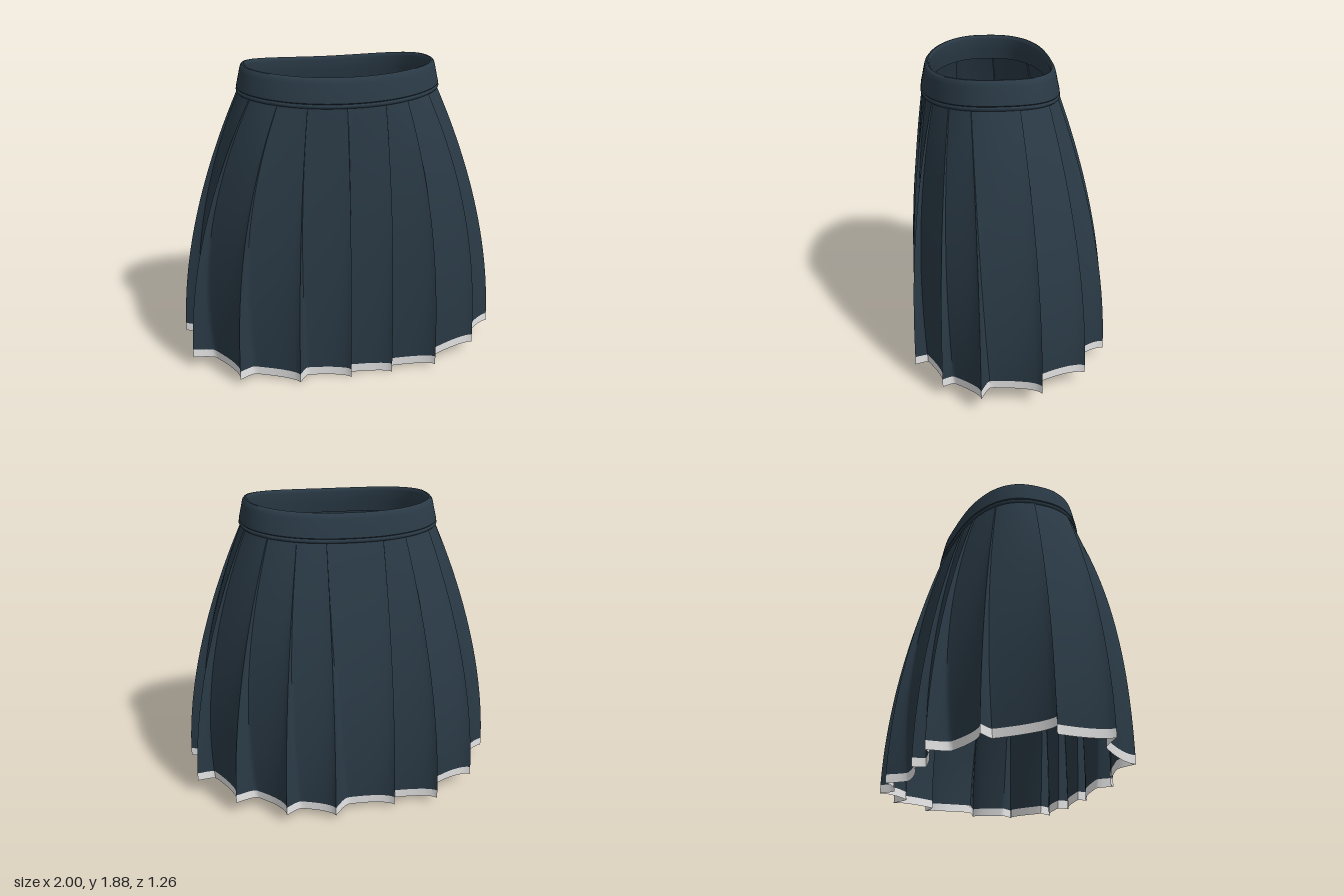
import * as THREE from 'three';
import { toCreasedNormals } from 'three/addons/utils/BufferGeometryUtils.js';

const fabric = new THREE.MeshStandardMaterial({ color: 0x2a3a46, side: THREE.DoubleSide });
fabric.name = 'dark slate fabric';
const white = new THREE.MeshStandardMaterial({ color: 0xe6e6e6, side: THREE.DoubleSide });
white.name = 'white trim';

// Outer fold of each pleat at the hem, clockwise from above:
// [x, z, where the valley lies on the way to the next fold, valley depth]
const pleats = [
  [-0.49, -0.60, 0.92, 0.08], [-0.21, -0.59, 0.70, 0.10], [0.18, -0.635, 0.70, 0.08],
  [0.48, -0.59, 0.72, 0.11], [0.77, -0.42, 0.84, 0.10], [0.985, -0.13, 0.82, 0.10],
  [1.0, 0.23, 0.86, 0.06], [0.82, 0.45, 0.94, 0.08], [0.52, 0.615, 0.96, 0.07],
  [0.24, 0.615, 0.97, 0.06], [-0.02, 0.615, 0.80, 0.08], [-0.34, 0.625, 0.76, 0.08],
  [-0.70, 0.57, 0.72, 0.09], [-0.97, 0.30, 0.82, 0.10], [-1.0, -0.06, 0.88, 0.10],
  [-0.79, -0.40, 0.74, 0.11],
];
// Section of one pleat: [0 fold - 1 valley - 2 next fold, share of the depth]
const section = [
  [0, 0], [0.05, 0.2], [0.12, 0.36], [0.25, 0.56], [0.42, 0.73], [0.6, 0.86],
  [0.8, 0.95], [0.93, 1], [1, 1], [1.15, 0.92], [1.4, 0.7], [1.7, 0.36],
];
const TRIM_START = 0.968;

const { lerp, smoothstep } = THREE.MathUtils;
const waistSag = (x) => 0.035 * (x / 0.6) ** 2 + 0.012 * x;
const hemHeight = (x, z) => 0.085 * x * x + 0.01 * x + (z < 0 ? -0.045 * z : 0);

// Waist outline, flatter at the back, grown or shrunk by an offset
function waistPoint(t, offset = 0) {
  const x = Math.sign(Math.cos(t)) * Math.abs(Math.cos(t)) ** 0.77;
  const power = Math.sin(t) > 0 ? 2.15 : 2.7;
  const z = Math.sign(Math.sin(t)) * (1 - Math.abs(x) ** power) ** (1 / power);
  return [(0.61 + offset) * x, 0.1 + (0.41 + offset) * z];
}

// Surface through a grid of points; columns run clockwise, rows run downwards
function gridGeometry(rows, cols, point) {
  const pts = [];
  for (let r = 0; r <= rows; r++) {
    for (let c = 0; c <= cols; c++) pts.push(...point(r / rows, c));
  }
  const index = [];
  for (let r = 0; r < rows; r++) {
    for (let c = 0; c < cols; c++) {
      const a = r * (cols + 1) + c, b = a + cols + 1;
      index.push(a, a + 1, b, a + 1, b + 1, b);
    }
  }
  const g = new THREE.BufferGeometry();
  g.setAttribute('position', new THREE.Float32BufferAttribute(pts, 3));
  g.setIndex(index);
  return toCreasedNormals(g, 0.7);
}

// Point of the pleated cloth: column c around, v from waist (0) to hem (1)
function clothPoint(c, v) {
  const n = pleats.length;
  const i = Math.floor(c / section.length) % n;
  const [k, share] = section[c % section.length];
  const p = pleats[i], q = pleats[(i + 1) % n];

  // Valleys sit tight against the next fold at the waist and open downwards
  const valley = lerp(0.985, p[2], v * v);
  const a = k < 1 ? valley * k : lerp(valley, 1, k - 1);
  const depth = p[3] * share * (0.1 + 0.9 * v ** 1.4);

  const angle = ([x, z]) => Math.atan2(z / 0.62, x);
  const t0 = angle(p);
  const dt = (angle(q) - t0 + 2 * Math.PI) % (2 * Math.PI);
  const w = waistPoint(t0 + dt * a);
  const h = [lerp(p[0], q[0], a), lerp(p[1], q[1], a)];

  // The cloth flares quickly at the hips, then hangs
  const flare = 1 - (1 - v) ** lerp(1.85, 2.4, smoothstep(h[1], 0.2, 0.6));
  const ux = q[0] - p[0], uz = q[1] - p[1], len = Math.hypot(ux, uz);
  return [
    lerp(w[0], h[0], flare) - (uz / len) * depth,
    lerp(1.685 + waistSag(w[0]), hemHeight(h[0], h[1]), v),
    lerp(w[1], h[1], flare) + (ux / len) * depth,
  ];
}

// Sweeps a profile of [offset, height] around the waist
function waistSweep(profile) {
  const segments = 128;
  return gridGeometry(profile.length - 1, segments, (r, c) => {
    const [offset, y] = profile[Math.round(r * (profile.length - 1))];
    const [x, z] = waistPoint((c / segments) * Math.PI * 2, offset);
    return [x, y + waistSag(x), z];
  });
}

export function createModel() {
  const group = new THREE.Group();
  group.name = 'pleatedSkirt';
  const add = (name, geometry, material) => {
    const mesh = new THREE.Mesh(geometry, material);
    mesh.name = name;
    group.add(mesh);
  };
  const cols = pleats.length * section.length;

  add('pleatedCloth', gridGeometry(40, cols, (r, c) => clothPoint(c, r * TRIM_START)), fabric);
  add('hemTrim', gridGeometry(2, cols, (r, c) => clothPoint(c, lerp(TRIM_START, 1, r))), white);

  // Waistband with rounded top edge, inside first
  add('waistband', waistSweep([
    [-0.03, 1.68], [-0.043, 1.75], [-0.053, 1.82], [-0.05, 1.836], [-0.042, 1.844],
    [-0.032, 1.842], [-0.022, 1.83], [-0.016, 1.808], [-0.006, 1.76],
    [0.004, 1.715], [0.006, 1.702], [0.001, 1.696],
  ]), fabric);

  // Narrow piping along the seam below the band
  add('seamPiping', waistSweep([
    [0.001, 1.697], [0.007, 1.692], [0.009, 1.685], [0.007, 1.678], [0.001, 1.672],
  ]), fabric);
  return group;
}
